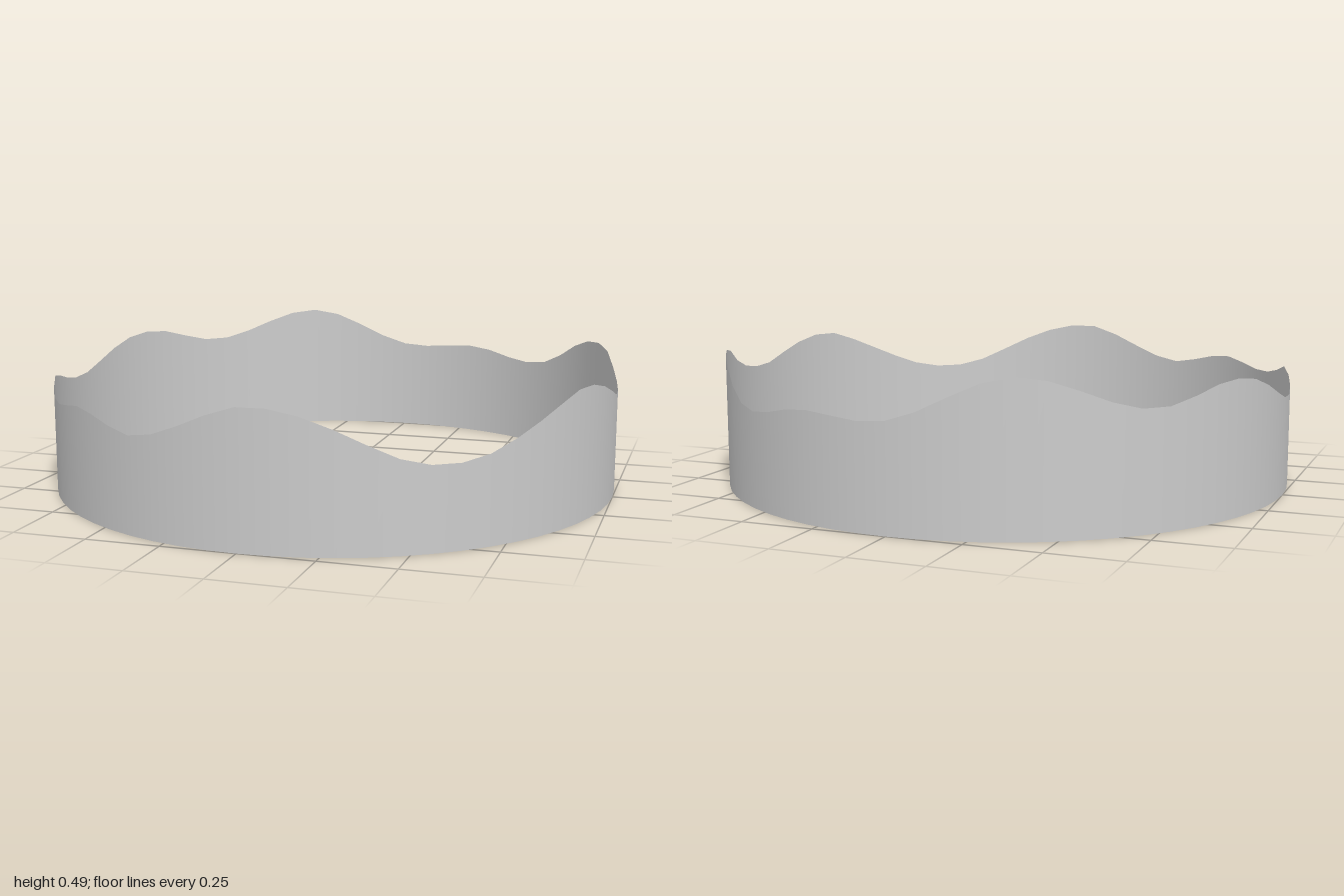
import * as THREE from 'three';

// Rim heights every 7.5 degrees, from the front (+z) round through +x
const RIM = [
  0.445, 0.44, 0.40, 0.34, 0.285, 0.27, 0.29, 0.34, 0.395, 0.44, 0.437, 0.40,
  0.36, 0.36, 0.39, 0.45, 0.465, 0.44, 0.375, 0.325, 0.325, 0.35, 0.36, 0.345,
  0.35, 0.395, 0.46, 0.49, 0.47, 0.42, 0.385, 0.39, 0.43, 0.445, 0.425, 0.375,
  0.335, 0.335, 0.365, 0.39, 0.355, 0.34, 0.355, 0.37, 0.345, 0.32, 0.345, 0.40,
];

export function createModel() {
  const group = new THREE.Group();
  group.name = 'wavyRing';

  // Smooth closed curve through the rim heights
  const rim = new THREE.CatmullRomCurve3(
    RIM.map((h) => new THREE.Vector3(0, h, 0)), true, 'catmullrom', 0.5);

  // Thin open band, its top edge raised to the wave
  const geometry = new THREE.CylinderGeometry(1, 1, 1, 64, 1, true);
  const pos = geometry.attributes.position;
  const uv = geometry.attributes.uv;
  for (let i = 0; i < pos.count; i++) {
    pos.setY(i, pos.getY(i) > 0 ? rim.getPoint(uv.getX(i) % 1).y : 0);
  }

  const band = new THREE.Mesh(geometry, new THREE.MeshStandardMaterial({
    color: 0xcccccc, side: THREE.DoubleSide,
  }));
  band.name = 'band';
  group.add(band);
  return group;
}
